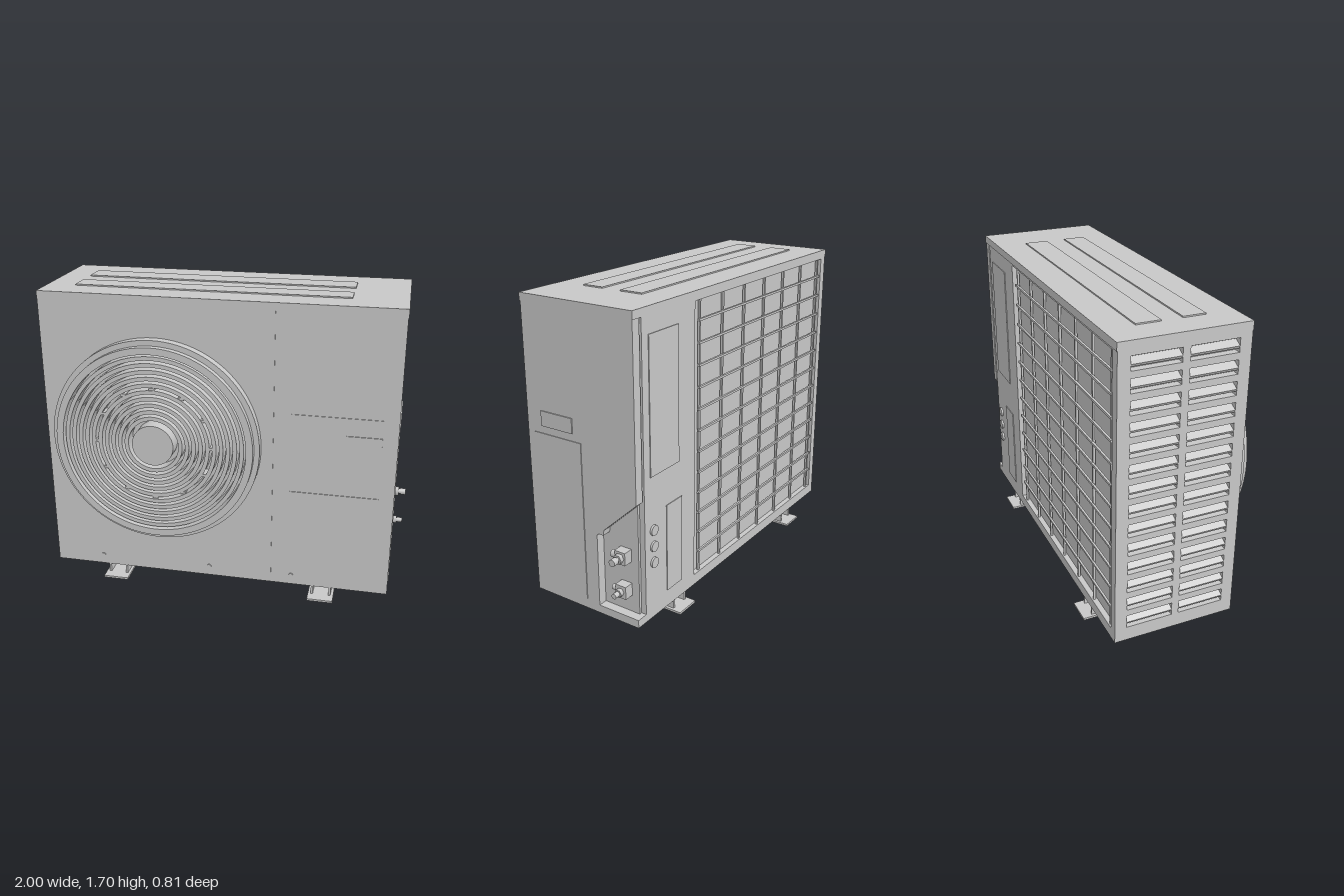
import * as THREE from 'three';
import { toCreasedNormals } from 'three/addons/utils/BufferGeometryUtils.js';

export function createModel() {
  const model = new THREE.Group();
  model.name = 'outdoorUnit';
  const grey = new THREE.MeshStandardMaterial({ color: 0xc8c8c8 });
  grey.name = 'light grey';

  const add = (name, geometry, parent = model) => {
    const mesh = new THREE.Mesh(geometry, grey);
    mesh.name = name;
    parent.add(mesh);
    return mesh;
  };
  const group = (name) => {
    const g = new THREE.Group();
    g.name = name;
    model.add(g);
    return g;
  };
  // Box given by its limits on each axis
  const box = (name, x0, x1, y0, y1, z0, z1, parent) => {
    const mesh = add(name, new THREE.BoxGeometry(x1 - x0, y1 - y0, z1 - z0), parent);
    mesh.position.set((x0 + x1) / 2, (y0 + y1) / 2, (z0 + z1) / 2);
    return mesh;
  };
  const outline = (points) => new THREE.Shape(points.map(([x, y]) => new THREE.Vector2(x, y)));
  const rect = (x0, x1, y0, y1) => outline([[x0, y0], [x1, y0], [x1, y1], [x0, y1]]);
  const extrude = (shape, depth, curveSegments = 12) =>
    new THREE.ExtrudeGeometry(shape, { depth, bevelEnabled: false, curveSegments });
  // Cylinder lying along x
  const rodX = (name, r, x0, x1, y, z, sides, parent) => {
    const mesh = add(name, new THREE.CylinderGeometry(r, r, x1 - x0, sides).rotateZ(Math.PI / 2), parent);
    mesh.position.set((x0 + x1) / 2, y, z);
  };
  // Cylinder lying along z
  const rodZ = (name, r, x, y, z0, z1, sides, parent) => {
    const mesh = add(name, new THREE.CylinderGeometry(r, r, z1 - z0, sides).rotateX(Math.PI / 2), parent);
    mesh.position.set(x, y, (z0 + z1) / 2);
  };

  // Cabinet core, base tray and lid
  box('cabinetCore', -0.96, 0.885, 0.1, 1.66, -0.33, 0.315);
  box('baseTray', -1, 0.935, 0.065, 0.11, -0.36, 0.315);
  box('lid', -1.0, 0.938, 1.65, 1.692, -0.363, 0.318);
  box('frontLidRib', -0.84, 0.65, 1.69, 1.699, 0.04, 0.16);
  box('rearLidRib', -0.84, 0.65, 1.69, 1.699, -0.2, -0.07);

  // Side panel with a cut-out corner for the valves
  const side = outline([[-0.315, 0.11], [0.11, 0.11], [0.11, 0.515], [0.12, 0.525], [0.15, 0.525],
    [0.155, 0.555], [0.36, 0.745], [0.36, 1.65], [-0.315, 1.65]]);
  add('leftSidePanel', extrude(side, 0.05).rotateY(Math.PI / 2)).position.x = 0.885;
  box('sideCover', 0.934, 0.939, 0.12, 0.99, -0.03, 0.27);
  box('sideHandle', 0.934, 0.941, 1.03, 1.11, 0.02, 0.22);

  // Louvred side: slots in two columns, each with a sloping slat
  const louvres = group('louvres');
  const vent = rect(-0.315, 0.36, 0.11, 1.65);
  for (const z of [-0.168, 0.125]) {
    for (let i = 0; i < 14; i++) {
      const y = 0.18 + i * 0.108;
      vent.holes.push(rect(-z - 0.127, -z + 0.127, y - 0.036, y + 0.036));
      const slat = box('louvreSlat', -1.0, -0.955, y - 0.008, y + 0.008, z - 0.127, z + 0.127, louvres);
      slat.rotation.z = 0.5;
    }
  }
  add('rightSidePanel', extrude(vent, 0.04).rotateY(Math.PI / 2)).position.x = -1;

  // Rear panel with an open coil bay covered by a wire grid
  const rear = rect(-0.96, 0.87, 0.11, 1.65);
  rear.holes.push(rect(-0.95, 0.435, 0.125, 1.64));
  add('rearPanel', extrude(rear, 0.03)).position.z = -0.36;
  const grid = group('rearGrid');
  for (let i = 0; i < 7; i++) {
    const x = -0.92 + i * 0.216;
    box('gridUpright', x - 0.006, x + 0.006, 0.125, 1.64, -0.352, -0.34, grid);
  }
  for (let i = 0; i < 12; i++) {
    const y = 0.25 + i * 0.117;
    box('gridBar', -0.935, 0.395, y - 0.006, y + 0.006, -0.36, -0.348, grid);
  }
  box('rearUpperCover', 0.58, 0.82, 0.85, 1.56, -0.364, -0.359);
  box('rearLowerCover', 0.555, 0.69, 0.16, 0.65, -0.364, -0.359);
  for (const y of [0.38, 0.47, 0.56]) rodZ('cablePlug', 0.028, 0.8, y, -0.371, -0.355, 24);

  // Front seam, shallow plates and clips
  box('frontSeam', 0.272, 0.28, 0.11, 1.65, 0.314, 0.318);
  box('frontUpperStrip', 0.375, 0.853, 1.07, 1.1, 0.314, 0.319);
  box('frontBadgePlate', 0.666, 0.853, 0.925, 1.0, 0.314, 0.32);
  box('frontLowerStrip', 0.375, 0.853, 0.62, 0.65, 0.314, 0.319);
  for (const x of [-0.72, -0.08, 0.395]) rodZ('frontClip', 0.014, x, 0.12, 0.314, 0.321, 16);

  // Round fan guard: stepped housing, concentric rings and hub
  const fan = group('fanGuard');
  fan.position.set(-0.365, 0.89, 0.31);
  const ring = (name, r0, r1, depth) => {
    const shape = new THREE.Shape().absarc(0, 0, r1, 0, Math.PI * 2, false);
    shape.holes.push(new THREE.Path().absarc(0, 0, r0, 0, Math.PI * 2, true));
    add(name, toCreasedNormals(extrude(shape, depth, 48), 0.6), fan);
  };
  ring('outerHousing', 0.54, 0.58, 0.055);
  ring('innerHousing', 0.512, 0.55, 0.09);
  for (let i = 0; i < 10; i++) {
    const r = 0.14 + i * 0.0375;
    ring('guardRing', r, r + 0.022, 0.08);
  }
  rodZ('hub', 0.115, 0, 0, 0, 0.094, 64, fan);
  for (let i = 0; i < 12; i++) {
    const a = (i * Math.PI) / 6;
    const x = Math.cos(a) * 0.317, y = Math.sin(a) * 0.317;
    box('ringPost', x - 0.015, x + 0.015, y - 0.007, y + 0.007, 0, 0.076, fan);
  }

  // Service valves in the corner recess
  const valves = group('valves');
  for (const [y, r, tip] of [[0.432, 0.02, 1.0], [0.24, 0.015, 0.992]]) {
    box('valveBlock', 0.88, 0.938, y - 0.035, y + 0.035, -0.285, -0.22, valves);
    rodX('valveNut', r + 0.007, 0.93, 0.96, y, -0.252, 6, valves);
    rodX('valveStem', r * 0.75, 0.95, tip - 0.012, y, -0.252, 20, valves);
    rodX('valveCap', r * 0.95, tip - 0.03, tip, y, -0.252, 20, valves);
    rodZ('servicePort', r, 0.915, y, -0.225, -0.19, 20, valves);
  }

  // Mounting feet: flat runner with two upright webs
  for (const x of [-0.633, 0.567]) {
    const foot = group('mountingFoot');
    box('footRunner', x - 0.072, x + 0.072, 0, 0.012, -0.408, 0.368, foot);
    for (const s of [-0.05, 0.05]) box('footWeb', x + s - 0.006, x + s + 0.006, 0.01, 0.068, -0.355, 0.312, foot);
  }
  return model;
}
